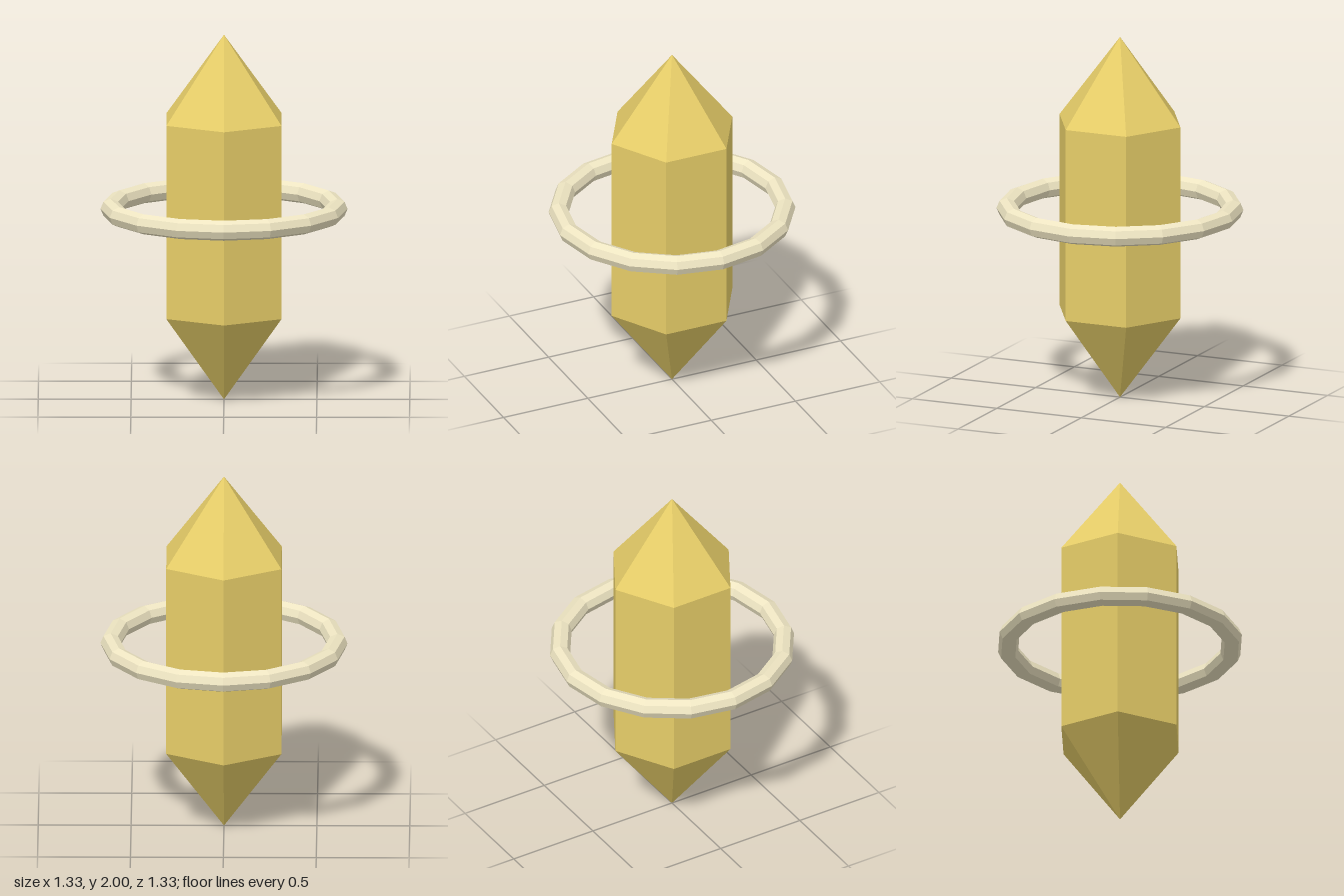
import * as THREE from 'three';

export function createModel() {
  const model = new THREE.Group();
  const gold = new THREE.MeshStandardMaterial({ color: 0xe6cd68, flatShading: true });
  const ivory = new THREE.MeshStandardMaterial({ color: 0xeee5c2, flatShading: true });

  const add = (name, geometry, material, y) => {
    const mesh = new THREE.Mesh(geometry, material);
    mesh.name = name;
    mesh.position.y = y;
    model.add(mesh);
    return mesh;
  };

  // Six-sided crystal: straight shaft with a point at each end
  const radius = 0.358, sides = 6, low = 0.475, high = 1.535, top = 2;
  add('crystalShaft', new THREE.CylinderGeometry(radius, radius, high - low, sides, 1, true), gold, (low + high) / 2);
  add('crystalTopPoint', new THREE.ConeGeometry(radius, top - high, sides, 1, true), gold, (high + top) / 2);
  add('crystalBottomPoint', new THREE.ConeGeometry(radius, low, sides, 1, true).rotateZ(Math.PI), gold, low / 2);

  // Faceted ring floating around the shaft
  add('ring', new THREE.TorusGeometry(0.61, 0.055, 8, 16).rotateX(Math.PI / 2), ivory, 1.045);

  return model;
}
